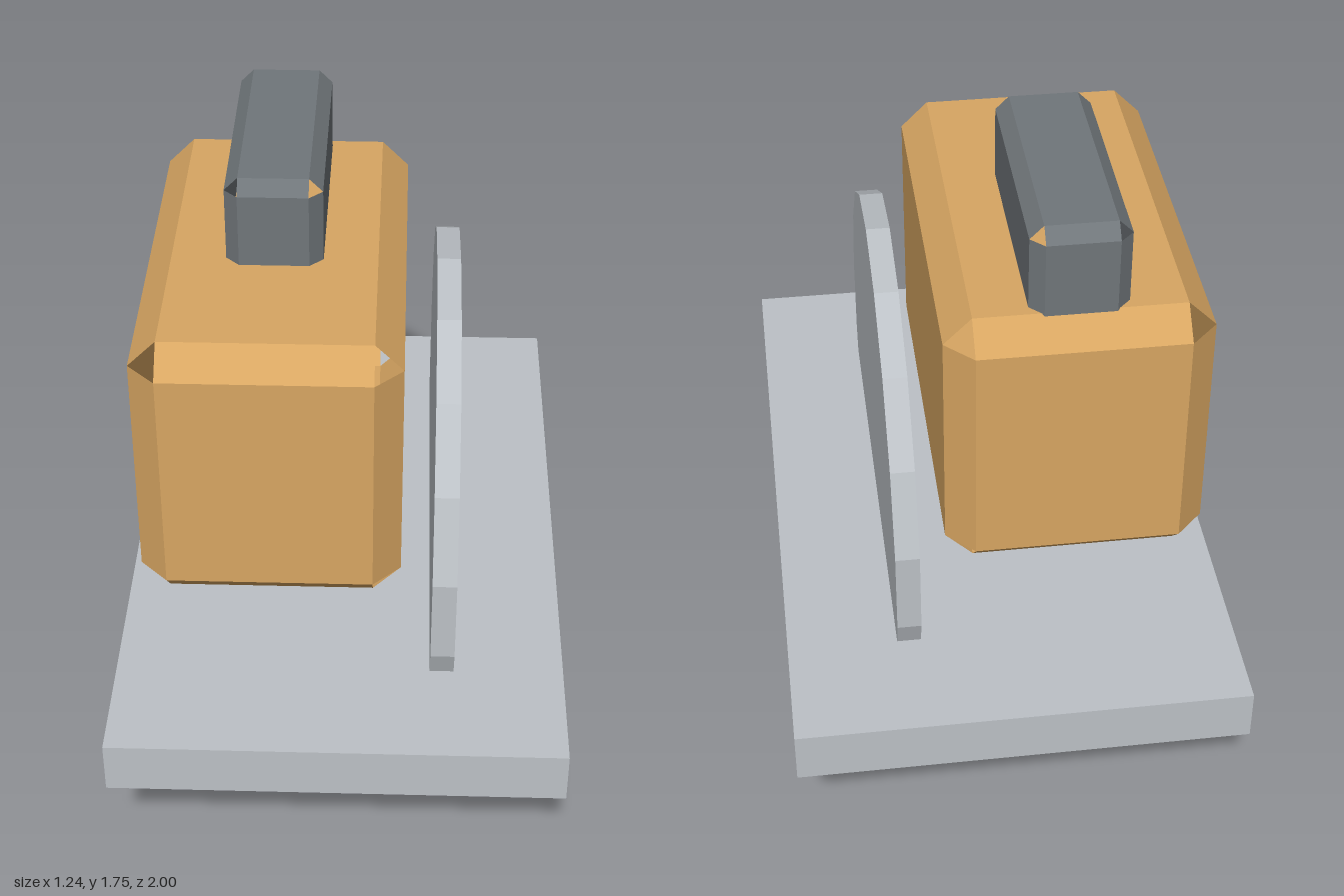
import * as THREE from 'three';

// Box with chamfered edges and open corners, given by its bounds and chamfer width
function chamferedBox([x0, x1], [y0, y1], [z0, z1], chamfer) {
  const half = [(x1 - x0) / 2, (y1 - y0) / 2, (z1 - z0) / 2];
  const inner = half.map((h) => h - chamfer);
  const positions = [];

  // Adds a flat quad, turned so that it faces outward
  const quad = (points) => {
    let [a, b, c, d] = points.map((p) => new THREE.Vector3(...p));
    const normal = b.clone().sub(a).cross(c.clone().sub(a));
    const middle = a.clone().add(b).add(c).add(d);
    if (normal.dot(middle) < 0) [b, d] = [d, b];
    for (const v of [a, b, c, a, c, d]) positions.push(v.x, v.y, v.z);
  };

  for (let i = 0; i < 3; i++) {
    const j = (i + 1) % 3, k = (i + 2) % 3;
    const point = (u, v, w) => {
      const p = [];
      p[i] = u; p[j] = v; p[k] = w;
      return p;
    };
    for (const s of [-1, 1]) {
      // Main face across axis i
      quad([[-1, -1], [1, -1], [1, 1], [-1, 1]].map(([v, w]) =>
        point(s * half[i], v * inner[j], w * inner[k])));
      // Chamfer strips running along axis k
      for (const t of [-1, 1]) {
        quad([
          point(s * half[i], t * inner[j], -inner[k]),
          point(s * half[i], t * inner[j], inner[k]),
          point(s * inner[i], t * half[j], inner[k]),
          point(s * inner[i], t * half[j], -inner[k]),
        ]);
      }
    }
  }

  const geometry = new THREE.BufferGeometry();
  geometry.setAttribute('position', new THREE.Float32BufferAttribute(positions, 3));
  geometry.computeVertexNormals();
  geometry.translate((x0 + x1) / 2, (y0 + y1) / 2, (z0 + z1) / 2);
  return geometry;
}

export function createModel() {
  const material = (name, color) => {
    const m = new THREE.MeshStandardMaterial({
      color, flatShading: true, side: THREE.DoubleSide,
    });
    m.name = name;
    return m;
  };
  const steel = material('steel', 0xbcc1c6);
  const housing = material('orange housing', 0xd8a662);
  const grip = material('dark grip', 0x70767a);

  const model = new THREE.Group();
  model.name = 'circularSaw';
  const add = (name, geometry, mat) => {
    const mesh = new THREE.Mesh(geometry, mat);
    mesh.name = name;
    model.add(mesh);
    return mesh;
  };

  // Flat sole plate
  add('basePlate', new THREE.BoxGeometry(1.235, 0.15, 2), steel).position.y = 0.435;

  // Round blade through the plate, one vertex at the very top
  const blade = new THREE.CylinderGeometry(0.715, 0.715, 0.066, 18);
  blade.rotateX(-Math.PI / 2).rotateY(Math.PI / 2);
  add('blade', blade, steel).position.set(0.282, 0.715, 0);

  // Motor housing and top handle
  add('motorHousing', chamferedBox([-0.549, 0.164], [0.695, 1.5], [-0.62, 0.62], 0.076), housing);
  add('handle', chamferedBox([-0.324, -0.06], [1.4, 1.745], [-0.55, 0.165], 0.037), grip);

  return model;
}
